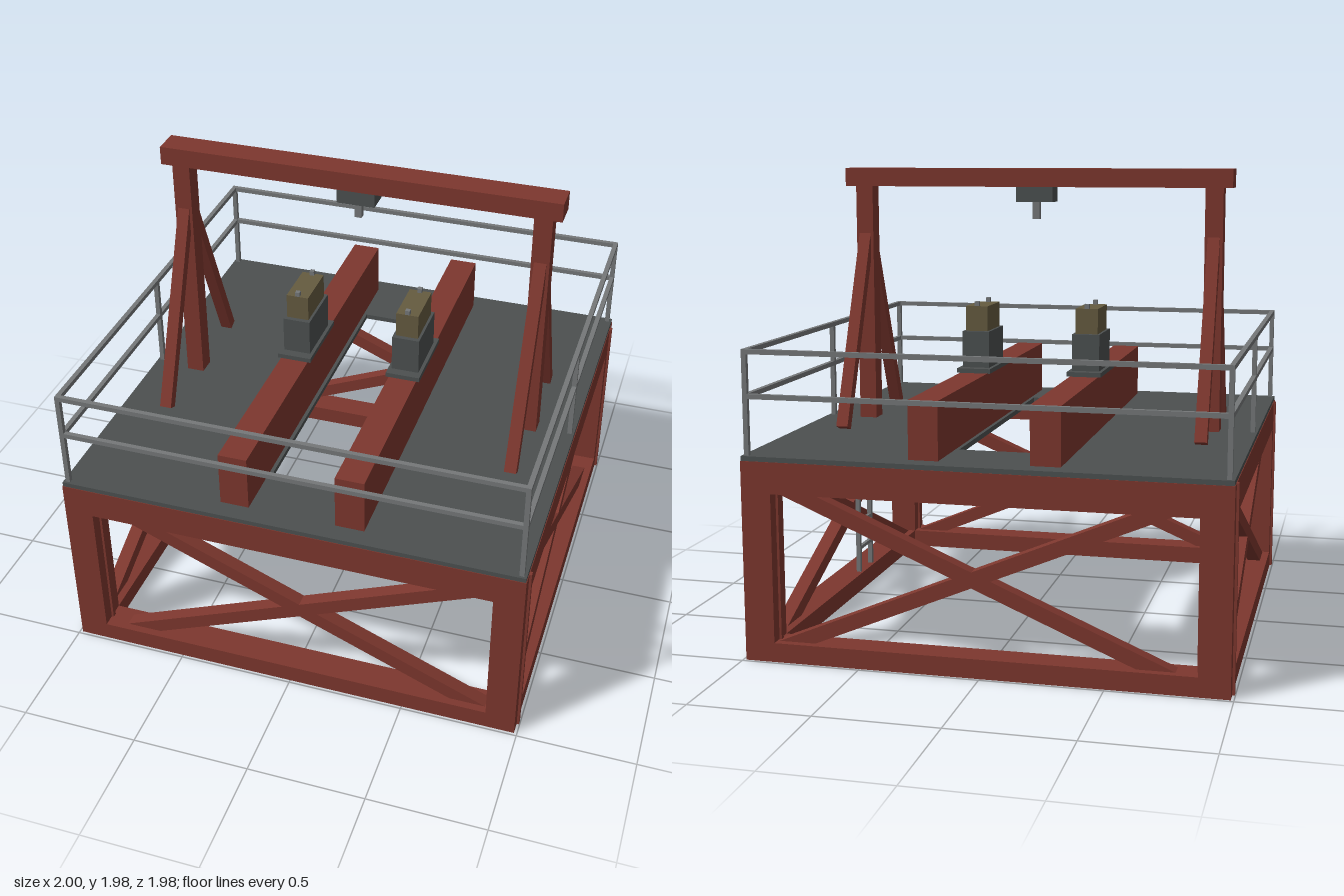
import * as THREE from 'three';

export function createModel() {
  const mat = (name, color) => {
    const m = new THREE.MeshStandardMaterial({ color });
    m.name = name;
    return m;
  };
  const red = mat('red steel', 0x7d372e);
  const deckGrey = mat('dark deck grey', 0x4c5050);
  const railGrey = mat('rail grey', 0x757879);
  const khaki = mat('khaki', 0x655b40);

  const model = new THREE.Group();
  model.name = 'gantryPlatform';
  const group = (name, parent = model) => {
    const g = new THREE.Group();
    g.name = name;
    parent.add(g);
    return g;
  };

  // Box given by its centre in x and z, and its bottom and top in y
  const box = (parent, name, material, w, d, y0, y1, x = 0, z = 0) => {
    const mesh = new THREE.Mesh(new THREE.BoxGeometry(w, y1 - y0, d), material);
    mesh.name = name;
    mesh.position.set(x, (y0 + y1) / 2, z);
    parent.add(mesh);
    return mesh;
  };

  // Square bar between two points
  const bar = (parent, name, material, a, b, width, depth) => {
    const from = new THREE.Vector3(...a), to = new THREE.Vector3(...b);
    const mesh = new THREE.Mesh(new THREE.BoxGeometry(width, depth, from.distanceTo(to)), material);
    mesh.name = name;
    mesh.position.copy(from).add(to).multiplyScalar(0.5);
    mesh.lookAt(to);
    parent.add(mesh);
  };

  // Base frame: corner legs with a web plate, beams and crossed braces
  const base = group('baseFrame');
  const c = 0.925;
  for (const sx of [-1, 1]) {
    for (const sz of [-1, 1]) {
      box(base, 'cornerLeg', red, 0.125, 0.125, 0, 0.83, sx * c, sz * c);
      box(base, 'legWeb', red, 0.145, 0.02, 0, 0.83, sx * c, sz * c);
    }
  }
  for (const s of [-1, 1]) {
    box(base, 'topBeam', red, 1.73, 0.125, 0.7, 0.83, 0, s * c);
    box(base, 'bottomBeam', red, 1.73, 0.125, 0, 0.08, 0, s * c);
    box(base, 'topBeam', red, 0.125, 1.73, 0.7, 0.83, s * c, 0);
    box(base, 'bottomBeam', red, 0.125, 1.73, 0, 0.08, s * c, 0);
    for (const [y0, y1] of [[0.04, 0.74], [0.74, 0.04]]) {
      bar(base, 'crossBrace', red, [-0.79, y0, s * c], [0.87, y1, s * c], 0.06, 0.06);
      bar(base, 'crossBrace', red, [s * c, y0, -0.79], [s * c, y1, 0.87], 0.06, 0.06);
    }
  }

  // Deck with a long slot
  const outline = new THREE.Shape();
  const e = 0.985;
  outline.moveTo(-e, -e).lineTo(e, -e).lineTo(e, e).lineTo(-e, e).closePath();
  const slot = new THREE.Path();
  slot.moveTo(-0.17, -0.66).lineTo(-0.17, 0.66).lineTo(0.17, 0.66).lineTo(0.17, -0.66).closePath();
  outline.holes.push(slot);
  const deckGeo = new THREE.ExtrudeGeometry(outline, { depth: 0.022, bevelEnabled: false });
  deckGeo.rotateX(-Math.PI / 2);
  const deck = new THREE.Mesh(deckGeo, deckGrey);
  deck.name = 'deck';
  deck.position.y = 0.828;
  model.add(deck);

  // Guard rail
  const guard = group('guardRail');
  const r = 0.965;
  for (const s of [-1, 1]) {
    for (const z of [-r, 0, r]) box(guard, 'railPost', railGrey, 0.02, 0.02, 0.85, 1.26, s * r, z);
    for (const y of [1.08, 1.26]) {
      box(guard, 'rail', railGrey, 2 * r + 0.02, 0.02, y, y + 0.02, 0, s * r);
      box(guard, 'rail', railGrey, 0.02, 2 * r - 0.02, y, y + 0.02, s * r, 0);
    }
  }

  // Skid beams, each carrying a jack
  for (const s of [-1, 1]) {
    const x = s * 0.247;
    box(model, 'skidBeam', red, 0.123, 1.81, 0.85, 1.09, x);
    const jack = group('jack');
    box(jack, 'jackPlate', deckGrey, 0.15, 0.33, 1.09, 1.11, x);
    box(jack, 'jackBody', deckGrey, 0.12, 0.25, 1.11, 1.27, x);
    box(jack, 'jackHead', khaki, 0.098, 0.21, 1.27, 1.38, x);
    for (const z of [-0.095, 0.095]) box(jack, 'jackPin', railGrey, 0.02, 0.02, 1.38, 1.4, x, z);
  }

  // Overhead gantry with side struts and a hoist
  const gantry = group('gantry');
  box(gantry, 'gantryBeam', red, 1.725, 0.122, 1.9, 1.98);
  for (const s of [-1, 1]) {
    const x = s * 0.783;
    box(gantry, 'gantryPost', red, 0.077, 0.08, 0.85, 1.9, x);
    for (const t of [-1, 1]) {
      bar(gantry, 'gantryStrut', red, [x, 0.86, t * 0.362], [x, 1.7, t * 0.011], 0.052, 0.046);
    }
  }
  const hoist = group('hoist', gantry);
  box(hoist, 'hoistTrolley', deckGrey, 0.163, 0.1, 1.835, 1.9);
  box(hoist, 'hoistHook', railGrey, 0.03, 0.03, 1.76, 1.835);

  // Access ladder inside the frame
  const ladder = group('ladder');
  for (const z of [0.075, 0.235]) box(ladder, 'ladderStile', railGrey, 0.02, 0.02, 0.06, 0.83, 0.885, z);
  for (let i = 0; i < 5; i++) {
    const y = 0.185 + i * 0.125;
    box(ladder, 'ladderRung', railGrey, 0.016, 0.14, y, y + 0.016, 0.885, 0.155);
  }

  return model;
}
